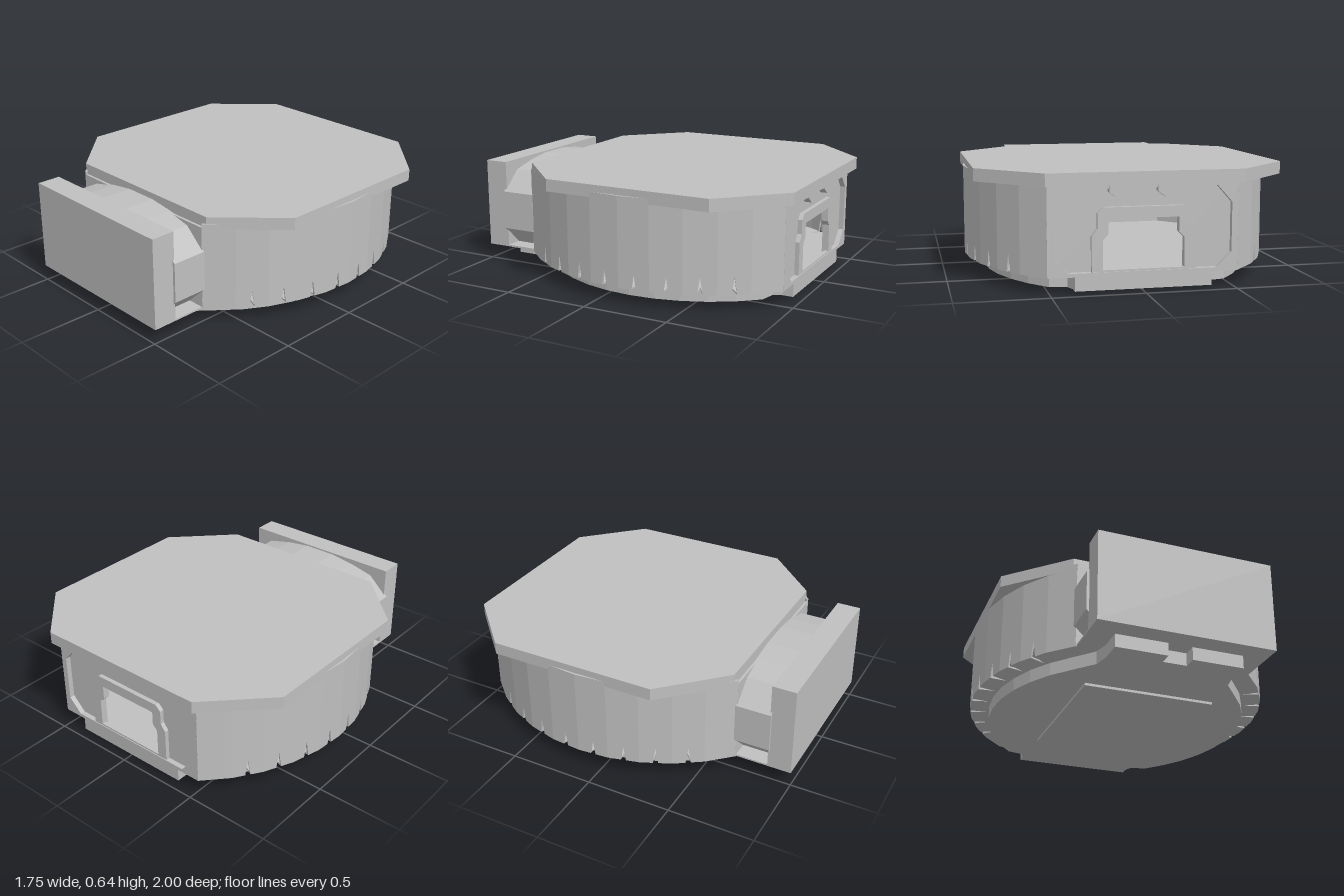
import * as THREE from 'three';

export function createModel() {
  const model = new THREE.Group();
  model.name = 'housing';
  const grey = new THREE.MeshStandardMaterial({ color: 0xc0c0c0 });
  grey.name = 'plain grey';

  const add = (name, geometry, parent = model) => {
    const mesh = new THREE.Mesh(geometry, grey);
    mesh.name = name;
    parent.add(mesh);
    return mesh;
  };
  const shapeOf = (pts) => new THREE.Shape(pts.map(([x, y]) => new THREE.Vector2(x, y)));
  const mirrored = (half) => [...half, ...half.map(([x, y]) => [-x, y]).reverse()];
  // Horizontal slab from an x/z outline
  const slab = (name, pts, y0, y1) => {
    const g = new THREE.ExtrudeGeometry(shapeOf(pts.map(([x, z]) => [x, -z])), { depth: y1 - y0, bevelEnabled: false });
    g.rotateX(-Math.PI / 2);
    g.translate(0, y0, 0);
    return add(name, g);
  };
  // Upright plate from an x/y outline with optional holes
  const plate = (name, pts, z0, z1, holes = []) => {
    const s = shapeOf(pts);
    s.holes = holes.map(shapeOf);
    const g = new THREE.ExtrudeGeometry(s, { depth: z1 - z0, bevelEnabled: false });
    g.translate(0, 0, z0);
    return add(name, g);
  };
  const box = (name, x0, x1, y0, y1, z0, z1) => {
    const g = new THREE.BoxGeometry(x1 - x0, y1 - y0, z1 - z0);
    g.translate((x0 + x1) / 2, (y0 + y1) / 2, (z0 + z1) / 2);
    return add(name, g);
  };

  // Side arcs share one centre line
  const R = 1.09, CX = -0.215, CZ = -0.14, N = 10, HALF = 0.838;
  const step = (2 * HALF) / N;
  const arcPoint = (a, r) => [CX + r * Math.cos(a), CZ + r * Math.sin(a)];

  // Lid: octagonal slab
  slab('lid', mirrored([[0.53, 0.65], [0.86, 0.32], [0.86, -0.67], [0.53, -1]]), 0.57, 0.64);

  // Curved side walls: flat panels with a dart cut into the lower edge
  const w = R * Math.sin(step / 2), apothem = R * Math.cos(step / 2);
  for (const turn of [0, Math.PI]) {
    const side = new THREE.Group();
    side.name = turn ? 'rightWall' : 'leftWall';
    side.position.z = CZ;
    side.rotation.y = turn;
    model.add(side);
    for (let i = 0; i < N; i++) {
      const a = -HALF + (i + 0.5) * step;
      const dart = i > 0 && i < N - 1 ? [[-0.015, 0.09], [0, 0.19], [0.015, 0.09]] : [];
      const s = shapeOf([[-w, 0.09], ...dart, [w, 0.09], [w, 0.6], [-w, 0.6]]);
      const g = new THREE.ExtrudeGeometry(s, { depth: 0.012, bevelEnabled: false });
      g.translate(0, 0, -0.012);
      const panel = add('wallPanel', g, side);
      panel.position.set(CX + apothem * Math.cos(a), 0, apothem * Math.sin(a));
      panel.rotation.y = Math.PI / 2 - a;
    }
  }

  // Floor: follows the walls, slit at every dart
  const floorHalf = [];
  for (let i = 0; i <= N; i++) {
    const a = HALF - i * step;
    floorHalf.push(arcPoint(a, R - 0.002));
    if (i > 0 && i < N - 1) {
      const m = a - step / 2;
      floorHalf.push(arcPoint(m + 0.014, apothem - 0.002), arcPoint(m, R - 0.1), arcPoint(m - 0.014, apothem - 0.002));
    }
  }
  slab('floor', mirrored(floorHalf), 0.09, 0.1);

  // Raised base with narrow front and back tongues
  const baseHalf = [[0.07, 0.8], [0.07, 0.88], [0.37, 0.88], [0.37, 0.74], [0.39, 0.65]];
  for (let i = 0; i <= 10; i++) baseHalf.push(arcPoint(0.77 - i * 0.154, R - 0.115));
  baseHalf.push([0.39, -0.84], [0.37, -0.89], [0.37, -0.95]);
  slab('base', mirrored(baseHalf), 0.015, 0.09);
  box('footPlate', -0.37, 0.41, 0, 0.02, -0.53, 0.4);

  // Front: body wall, faceted neck and square faceplate
  box('frontWall', -0.515, 0.515, 0.09, 0.58, 0.655, 0.67);
  plate('neck', mirrored([
    [0.4, 0.09], [0.525, 0.21], [0.525, 0.44], [0.4, 0.555], [0.25, 0.59], [0.1, 0.61],
  ]), 0.66, 0.87);
  box('neckFloor', -0.51, 0.51, 0.09, 0.1, 0.66, 0.87);
  box('faceplate', -0.51, 0.51, 0.09, 0.62, 0.86, 1);

  // Back: chamfered rim, recessed panel and arched window
  plate('backRim', mirrored([[0.515, 0.09], [0.515, 0.58]]), -0.95, -0.91, [
    mirrored([[0.4, 0.11], [0.48, 0.19], [0.48, 0.46], [0.4, 0.55]]),
  ]);
  const opening = mirrored([[0.22, 0.11], [0.22, 0.28], [0.19, 0.31], [0.19, 0.39]]);
  plate('backPanel', mirrored([[0.5, 0.1], [0.5, 0.57]]), -0.92, -0.905, [opening]);
  plate('windowFrame', mirrored([
    [0.22, 0.11], [0.28, 0.11], [0.28, 0.3], [0.25, 0.34], [0.25, 0.42], [0.22, 0.45],
  ].slice(1)), -0.945, -0.92, [mirrored([[0.22, 0.12], [0.22, 0.28], [0.19, 0.31], [0.19, 0.39]])]);

  // Small tabs hanging below the back edge of the lid
  for (const x of [-0.13, 0.13]) {
    plate('backTab', [[x - 0.06, 0.58], [x - 0.06, 0.53], [x - 0.02, 0.5], [x + 0.02, 0.5], [x + 0.06, 0.53], [x + 0.06, 0.58]], -0.96, -0.91);
  }
  return model;
}
